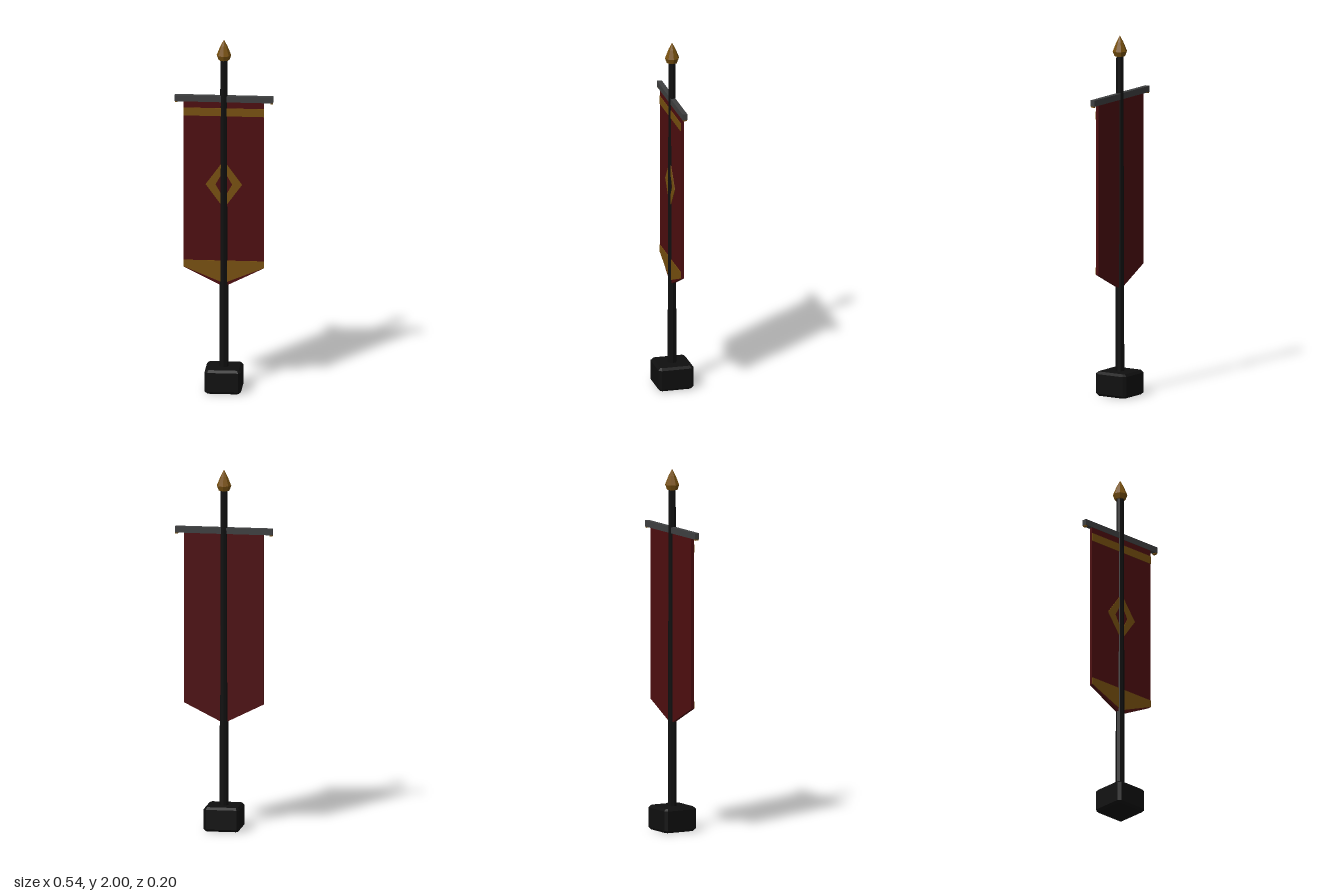
import * as THREE from 'three';

const material = (name, color) => {
  const m = new THREE.MeshStandardMaterial({ color, flatShading: true });
  m.name = name;
  return m;
};

const polygon = (points) => new THREE.Shape(points.map(([x, y]) => new THREE.Vector2(x, y)));

export function createModel() {
  const black = material('black iron', 0x0f0f0f);
  const grey = material('grey metal', 0x3e3f40);
  const red = material('red cloth', 0x4d0d0f);
  const gold = material('gold', 0x77500f);

  const group = new THREE.Group();
  group.name = 'standingBanner';
  const add = (name, geometry, mat, x = 0, y = 0, z = 0) => {
    const mesh = new THREE.Mesh(geometry, mat);
    mesh.name = name;
    mesh.position.set(x, y, z);
    group.add(mesh);
    return mesh;
  };
  const plate = (shape, depth) =>
    new THREE.ExtrudeGeometry(shape, { depth, bevelEnabled: false });

  // Chamfered block foot
  const bevel = 0.013, s = 0.1 - bevel, c = s - 0.008, height = 0.135;
  const foot = new THREE.ExtrudeGeometry(
    polygon([[-c, -s], [c, -s], [s, -c], [s, c], [c, s], [-c, s], [-s, c], [-s, -c]]),
    { depth: height - 2 * bevel, bevelThickness: bevel, bevelSize: bevel, bevelSegments: 1 });
  foot.rotateX(-Math.PI / 2);
  add('base', foot, black, 0, bevel, 0);

  // Tapered pole and spear-shaped finial
  add('pole', new THREE.CylinderGeometry(0.02, 0.025, 1.78, 8), black, 0, 1.0, 0);
  const tip = [[0, 1.885], [0.03, 1.885], [0.04, 1.912], [0.02, 1.962], [0, 2]];
  add('finial', new THREE.LatheGeometry(tip.map(([x, y]) => new THREE.Vector2(x, y)), 8), gold);

  // Crossbar with small gold clips under its ends
  add('crossbar', new THREE.BoxGeometry(0.54, 0.034, 0.027), grey, 0, 1.662, -0.001);
  for (const side of [-1, 1]) {
    add(side > 0 ? 'leftClip' : 'rightClip',
      new THREE.BoxGeometry(0.014, 0.014, 0.022), gold, side * 0.262, 1.646, -0.001);
  }

  // Cloth with a pointed lower edge
  const cloth = polygon([[-0.22, 1.65], [-0.22, 0.7], [0, 0.59], [0.22, 0.7], [0.22, 1.65]]);
  add('cloth', plate(cloth, 0.018), red, 0, 0, -0.009);

  // Gold decoration on the front of the cloth
  const trim = 0.003, front = 0.009;
  add('topStripe', plate(polygon([[-0.22, 1.565], [0.22, 1.565], [0.22, 1.61], [-0.22, 1.61]]), trim),
    gold, 0, 0, front);
  add('bottomStripe', plate(polygon([[-0.22, 0.74], [-0.22, 0.702], [0, 0.612], [0.22, 0.702], [0.22, 0.74]]), trim),
    gold, 0, 0, front);
  const diamond = (w, h) => [[-w, 0], [0, -h], [w, 0], [0, h]];
  const emblem = polygon(diamond(0.1, 0.137));
  emblem.holes.push(polygon(diamond(0.046, 0.08)));
  add('diamondEmblem', plate(emblem, trim), gold, 0, 1.175, front);

  return group;
}
